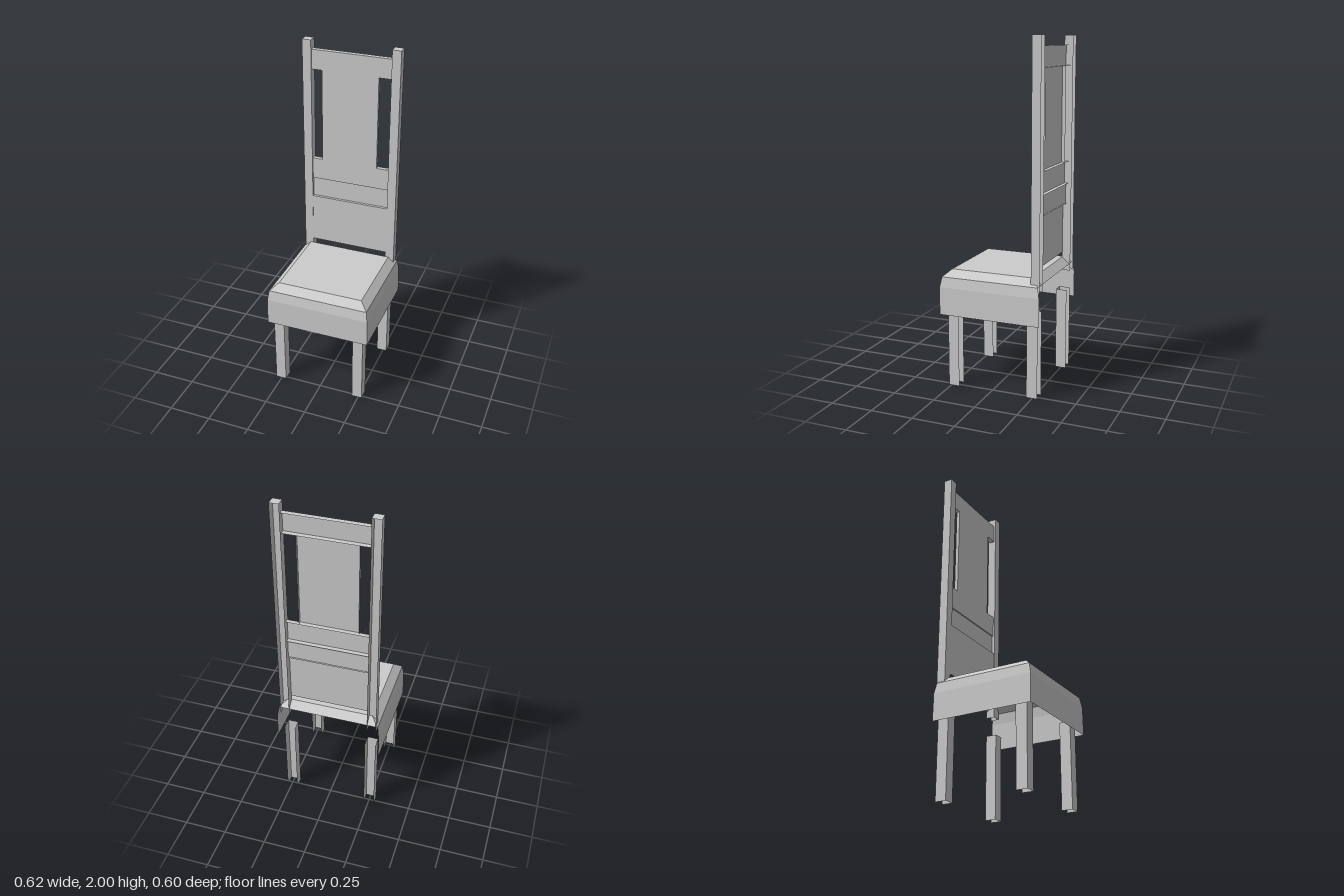
import * as THREE from 'three';

const grey = new THREE.MeshStandardMaterial({ color: 0xcccccc, side: THREE.DoubleSide, flatShading: true });
grey.name = 'plain grey';

// Box between two corners that keeps only the listed faces
// (R +x, L -x, T top, B bottom, F front, K back).
function shell(name, [x0, x1], [y0, y1], [z0, z1], faces) {
  const g = new THREE.BoxGeometry(x1 - x0, y1 - y0, z1 - z0);
  g.translate((x0 + x1) / 2, (y0 + y1) / 2, (z0 + z1) / 2);
  const all = Array.from(g.index.array);
  g.setIndex([...faces].flatMap((f) => {
    const i = 'RLTBFK'.indexOf(f) * 6;
    return all.slice(i, i + 6);
  }));
  g.clearGroups();
  const mesh = new THREE.Mesh(g, grey);
  mesh.name = name;
  return mesh;
}

// Upholstered seat: stacked rectangular rings, open below and at the back
function seat() {
  const rings = [[0.31, 0.44, 0.3], [0.307, 0.6, 0.3], [0.298, 0.66, 0.289], [0.253, 0.7, 0.245]];
  const corners = ([x, y, z]) => [[x, y, -z], [x, y, z], [-x, y, z], [-x, y, -z]];
  const pos = [];
  const quad = (a, b, c, d) => pos.push(...a, ...b, ...c, ...a, ...c, ...d);
  for (let r = 0; r < 3; r++) {
    const lo = corners(rings[r]), hi = corners(rings[r + 1]);
    const sides = r === 2 ? 4 : 3; // only the top bevel runs along the back
    for (let s = 0; s < sides; s++) {
      const n = (s + 1) % 4;
      quad(lo[n], lo[s], hi[s], hi[n]);
    }
  }
  const [a, b, c, d] = corners(rings[3]);
  quad(a, d, c, b);
  const g = new THREE.BufferGeometry();
  g.setAttribute('position', new THREE.Float32BufferAttribute(pos, 3));
  g.computeVertexNormals();
  const mesh = new THREE.Mesh(g, grey);
  mesh.name = 'seat';
  return mesh;
}

export function createModel() {
  const chair = new THREE.Group();
  chair.name = 'highBackChair';
  chair.add(seat());

  // Legs: channels open at the back
  for (const [side, x] of [['left', [0.21, 0.272]], ['right', [-0.285, -0.222]]]) {
    chair.add(shell(side + 'FrontLeg', x, [0.005, 0.5], [0.2, 0.265], 'RLF'));
    chair.add(shell(side + 'BackLeg', x, [0.005, 0.5], [-0.28, -0.215], 'RLF'));
  }

  // Tall back posts, capped on top
  const back = new THREE.Group();
  back.name = 'backrest';
  back.add(shell('leftPost', [0.234, 0.286], [0.62, 2], [-0.296, -0.244], 'RLTF'));
  back.add(shell('rightPost', [-0.288, -0.236], [0.62, 2], [-0.296, -0.244], 'RLTF'));

  // Rails and panels between the posts
  const span = [-0.236, 0.234];
  back.add(shell('topRail', span, [1.83, 1.945], [-0.283, -0.254], 'TBF'));
  back.add(shell('centrePanel', [-0.175, 0.16], [1.28, 1.83], [-0.275, -0.254], 'RLF'));
  back.add(shell('middleRail', span, [1.15, 1.28], [-0.28, -0.254], 'TBF'));
  back.add(shell('recessedRail', span, [1.03, 1.15], [-0.27, -0.262], 'F'));
  back.add(shell('lowerPanel', span, [0.73, 1.03], [-0.272, -0.246], 'TF'));
  chair.add(back);
  return chair;
}
